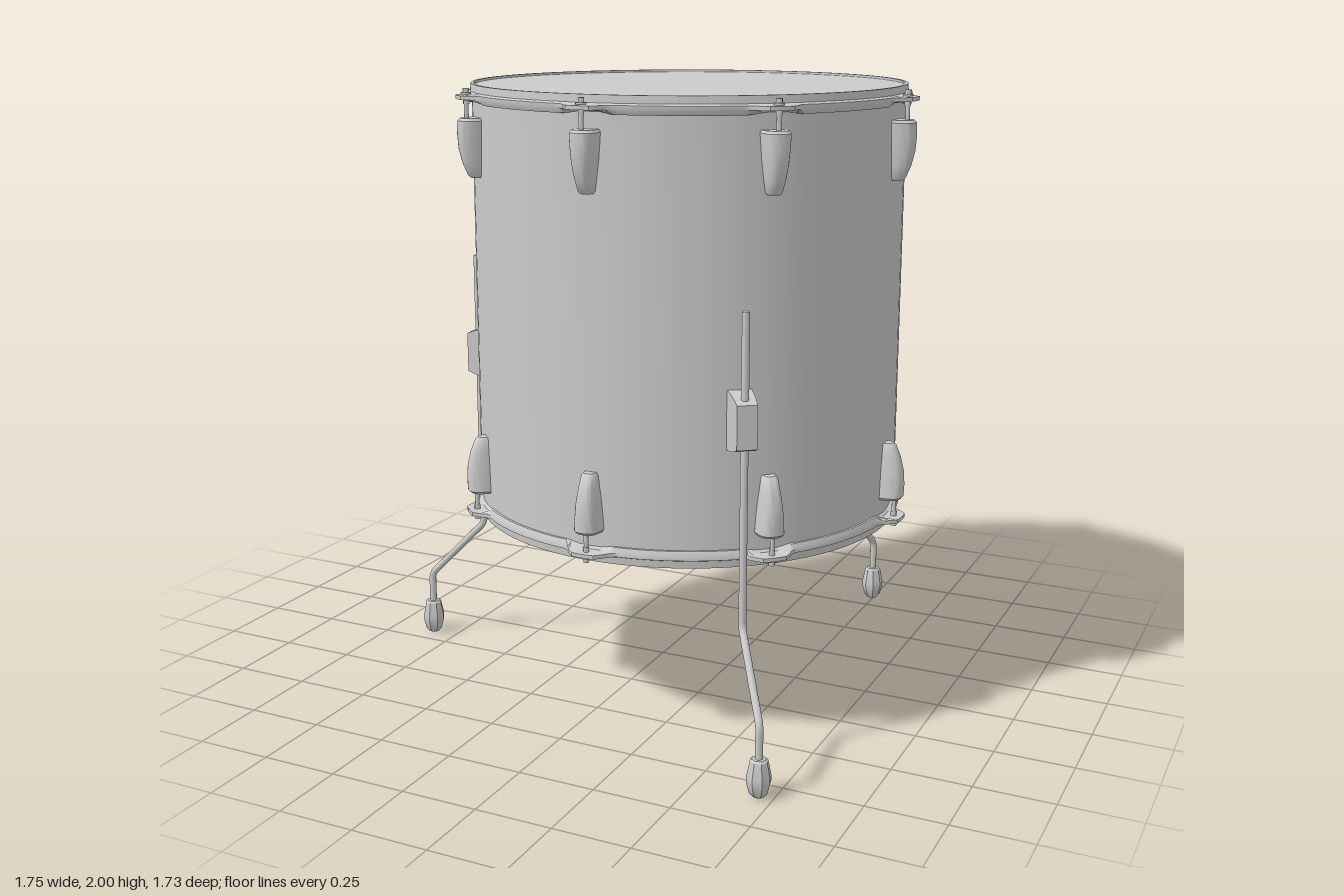
import * as THREE from 'three';
import { toCreasedNormals } from 'three/addons/utils/BufferGeometryUtils.js';

const CX = 0.12, CZ = 0.06;      // drum axis
const MID = 1.305, HALF = 0.695; // middle height and half height of the drum
const R = 0.69;                  // shell radius
const mat = new THREE.MeshStandardMaterial({ color: 0xcccccc });

function add(parent, name, geo, x = 0, y = 0, z = 0) {
  const m = new THREE.Mesh(geo, mat);
  m.name = name;
  m.position.set(x, y, z);
  parent.add(m);
  return m;
}

function lathe(points, segments) {
  return new THREE.LatheGeometry(points.map(p => new THREE.Vector2(...p)), segments);
}

// Group whose local +x points outward from the drum axis at angle a
function spoke(parent, name, a) {
  const g = new THREE.Group();
  g.name = name;
  g.rotation.y = -a;
  parent.add(g);
  return g;
}

// Ring with a flange that swells into an ear at each of the eight rods
function hoopGeometry() {
  const geo = lathe([[0.682, 0.64], [0.698, 0.64], [0.706, 0.655], [0.706, 0.667],
    [0.694, 0.672], [0.692, HALF], [0.682, HALF], [0.682, 0.64]], 256);
  const p = geo.attributes.position;
  for (let i = 0; i < p.count; i++) {
    const x = p.getX(i), y = p.getY(i), z = p.getZ(i), r = Math.hypot(x, z);
    const step = Math.PI / 4, a = Math.atan2(z, x);
    const d = R * Math.abs(a - Math.round(a / step) * step);
    const ear = 1 - THREE.MathUtils.smoothstep(d, 0.026, 0.085);
    if (r > 0.703) {
      const k = (r + 0.047 * ear) / r;
      p.setXYZ(i, x * k, y, z * k);
    } else if (r > 0.696) p.setY(i, y + 0.015 * ear);
  }
  return toCreasedNormals(geo, 0.6);
}

// Tapered casing: rows of height, half width and depth, with a rounded-square section
function lugGeometry() {
  const rows = [[0.415, 0, 0], [0.415, 0.019, 0.028], [0.422, 0.024, 0.036], [0.46, 0.029, 0.052],
    [0.505, 0.035, 0.063], [0.55, 0.039, 0.066], [0.59, 0.042, 0.064], [0.598, 0.037, 0.056], [0.598, 0, 0]];
  const geo = lathe(rows.map(r => [1, r[0]]), 32);
  const p = geo.attributes.position;
  const soft = v => Math.sign(v) * Math.pow(Math.abs(v), 0.7);
  for (let i = 0; i < p.count; i++) {
    const [, w, d] = rows[i % rows.length];
    p.setX(i, R - 0.004 + Math.max(-0.003, soft(p.getX(i)) * (d + 0.002)));
    p.setZ(i, soft(p.getZ(i)) * w);
  }
  return toCreasedNormals(geo, 0.6);
}

// Leg clamp: box narrowing outward
function clampGeometry() {
  const geo = new THREE.BoxGeometry(0.107, 0.18, 0.075, 4, 1, 1);
  const p = geo.attributes.position;
  for (let i = 0; i < p.count; i++) {
    const t = p.getX(i) / 0.107 + 0.5;
    p.setY(i, p.getY(i) * (1 - 0.26 * t * t));
    p.setZ(i, p.getZ(i) * (1 - 0.18 * t));
  }
  return toCreasedNormals(geo, 0.6);
}

// Rod path with two short rounded bends
function legGeometry() {
  const pts = [[0.757, 1.4], [0.757, 0.44], [0.967, 0.225], [0.967, 0.08]]
    .map(([x, y]) => new THREE.Vector3(x, y, 0));
  const path = new THREE.CurvePath();
  let from = pts[0];
  for (let i = 1; i < 3; i++) {
    const near = j => pts[i].clone().add(pts[j].clone().sub(pts[i]).setLength(0.02));
    const a = near(i - 1), b = near(i + 1);
    path.add(new THREE.LineCurve3(from, a));
    path.add(new THREE.QuadraticBezierCurve3(a, pts[i], b));
    from = b;
  }
  path.add(new THREE.LineCurve3(from, pts[3]));
  return new THREE.TubeGeometry(path, 150, 0.012, 12);
}

export function createModel() {
  const model = new THREE.Group();
  model.name = 'floorDrum';
  const drum = new THREE.Group();
  drum.name = 'drum';
  drum.position.set(CX, 0, CZ);
  model.add(drum);

  // Hollow shell, open below, closed by the head on top
  const shell = lathe([[0.676, 0.625], [R, 0.625], [R, 1.985], [0.676, 1.985], [0.676, 0.625]], 96);
  add(drum, 'shell', toCreasedNormals(shell, 0.6));
  add(drum, 'head', new THREE.CylinderGeometry(0.684, 0.684, 0.008, 96), 0, 1.988, 0);

  // Hoops, rods and lugs; the lower set is the upper one turned over
  const hoop = hoopGeometry(), lug = lugGeometry();
  const rod = new THREE.CylinderGeometry(0.007, 0.007, 0.09, 10);
  const washer = new THREE.CylinderGeometry(0.016, 0.016, 0.006, 14);
  const bolt = new THREE.CylinderGeometry(0.01, 0.01, 0.016, 6);
  const screw = new THREE.SphereGeometry(0.011, 10, 8);
  for (const upper of [true, false]) {
    const end = new THREE.Group();
    end.name = upper ? 'upperFittings' : 'lowerFittings';
    end.position.y = MID;
    if (!upper) end.rotation.x = Math.PI;
    drum.add(end);
    add(end, 'hoop', hoop);
    for (let i = 0; i < 8; i++) {
      const g = spoke(end, 'tension', i * Math.PI / 4);
      add(g, 'lug', lug);
      add(g, 'tensionRod', rod, 0.725, 0.63, 0);
      add(g, 'washer', washer, 0.725, 0.672, 0);
      add(g, 'rodHead', bolt, 0.725, 0.68, 0);
      add(g, 'rodCollar', bolt, 0.725, 0.648, 0);
      for (const y of [0.435, 0.555]) add(g, 'innerScrew', screw, 0.674, y, 0);
    }
  }

  // Three legs, evenly spaced
  const leg = legGeometry(), clamp = clampGeometry();
  const tip = new THREE.SphereGeometry(0.012, 12, 8);
  const foot = toCreasedNormals(lathe([[0, 0], [0.018, 0.004], [0.029, 0.016], [0.038, 0.05],
    [0.038, 0.068], [0.028, 0.116], [0.022, 0.122], [0, 0.122]], 8), 0.5);
  for (let i = 0; i < 3; i++) {
    const g = spoke(drum, 'leg', THREE.MathUtils.degToRad(52.8 + 120 * i));
    add(g, 'legRod', leg);
    add(g, 'rodTip', tip, 0.757, 1.392, 0);
    add(g, 'legClamp', clamp, 0.7335, 1.065, 0);
    add(g, 'rubberFoot', foot, 0.967, 0, 0);
  }
  return model;
}
